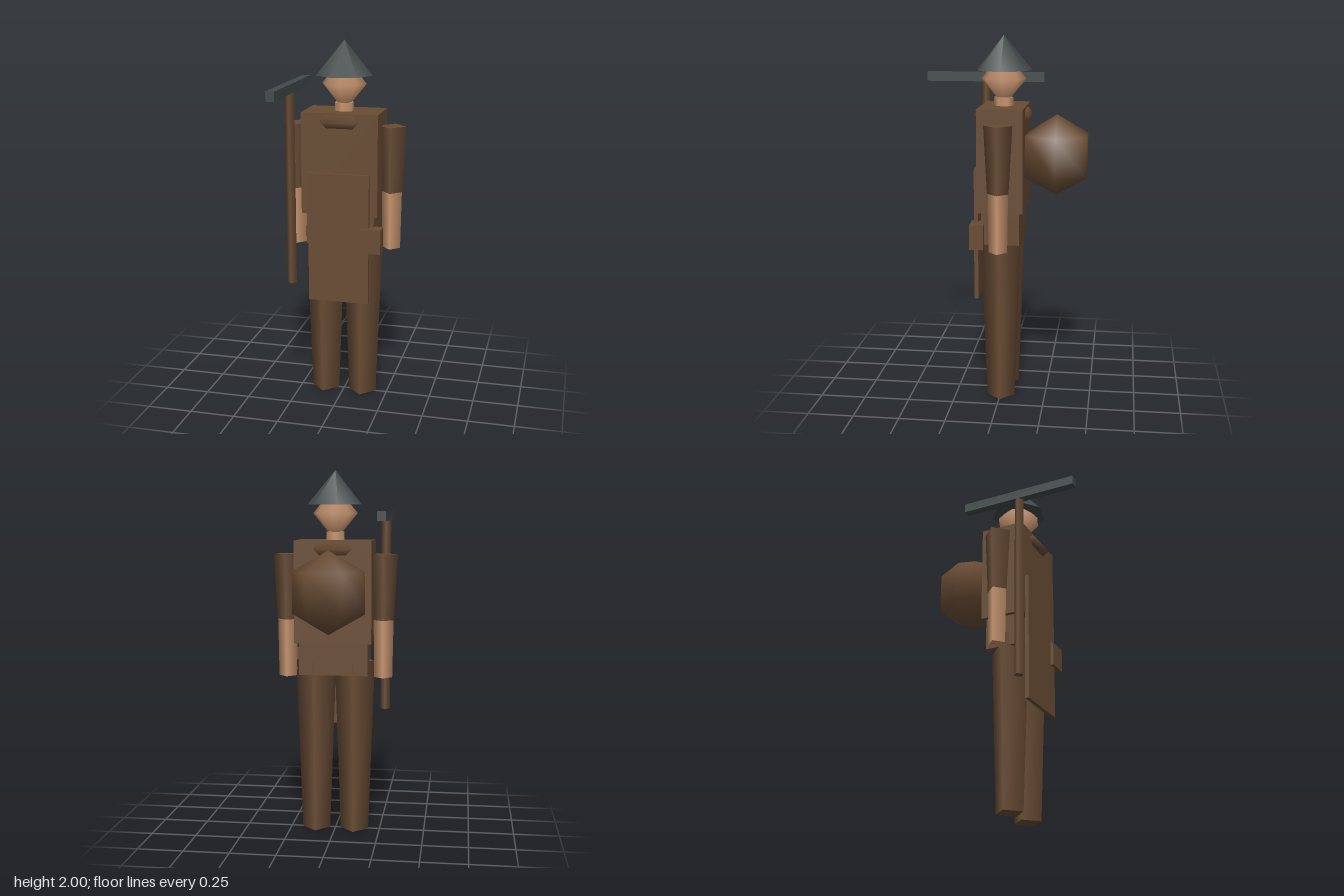
import * as THREE from 'three';

export function createModel() {
  const model = new THREE.Group();
  const mat = (name, color) => {
    const m = new THREE.MeshStandardMaterial({ color });
    m.name = name;
    return m;
  };
  const leather = mat('brown leather', 0x694c34);
  const skin = mat('skin', 0xc8956f);
  const iron = mat('dark iron', 0x424b4a);

  const add = (name, geometry, material, x, y, z) => {
    const mesh = new THREE.Mesh(geometry, material);
    mesh.name = name;
    mesh.position.set(x, y, z);
    model.add(mesh);
    return mesh;
  };
  // Box given by its limits on each axis
  const box = (name, material, x0, x1, y0, y1, z0, z1) =>
    add(name, new THREE.BoxGeometry(x1 - x0, y1 - y0, z1 - z0), material,
      (x0 + x1) / 2, (y0 + y1) / 2, (z0 + z1) / 2);
  // Upright tapered post from y0 to y1
  const post = (name, material, x, z, y0, y1, rBottom, rTop, sides = 4) =>
    add(name, new THREE.CylinderGeometry(rTop, rBottom, y1 - y0, sides), material,
      x, (y0 + y1) / 2, z);

  const zc = -0.006; // body centre line

  // Body
  box('torso', leather, -0.21, 0.21, 1.07, 1.625, -0.13, 0.116);
  box('hips', leather, -0.188, 0.188, 0.893, 1.07, -0.11, 0.095);
  post('neck', skin, 0, zc, 1.58, 1.67, 0.053, 0.053, 6);
  const collar = add('collar', new THREE.TorusGeometry(0.142, 0.035, 4, 6), leather, 0, 1.58, zc);
  collar.rotation.x = Math.PI / 2;

  // Head and pointed helmet
  const head = add('head', new THREE.SphereGeometry(0.122, 8, 2), skin, 0, 1.77, zc);
  head.scale.y = 1.22;
  const helmet = add('helmet', new THREE.ConeGeometry(0.155, 0.185, 7), iron, 0, 1.9075, zc);
  helmet.rotation.y = Math.PI / 2;

  // Limbs, mirrored
  for (const [side, s] of [['left', 1], ['right', -1]]) {
    post(side + 'Leg', leather, s * 0.108, zc + 0.003, 0, 0.965, 0.078, 0.112);
    post(side + 'Sleeve', leather, s * 0.266, zc, 1.19, 1.55, 0.057, 0.076);
    post(side + 'Forearm', skin, s * 0.266, zc, 0.873, 1.19, 0.05, 0.055);
  }

  // Apron, pouch and backpack
  box('apron', leather, -0.168, 0.168, 0.58, 1.302, 0.114, 0.136);
  box('pouch', leather, 0.117, 0.237, 0.875, 1.01, 0.078, 0.153);
  add('backpack', new THREE.SphereGeometry(0.221, 6, 3), leather, 0, 1.36, -0.295);

  // Long-handled pick
  post('pickHandle', leather, -0.267, 0.127, 0.67, 1.74, 0.027, 0.027);
  box('pickHead', iron, -0.29, -0.244, 1.73, 1.781, -0.205, 0.46);

  return model;
}
